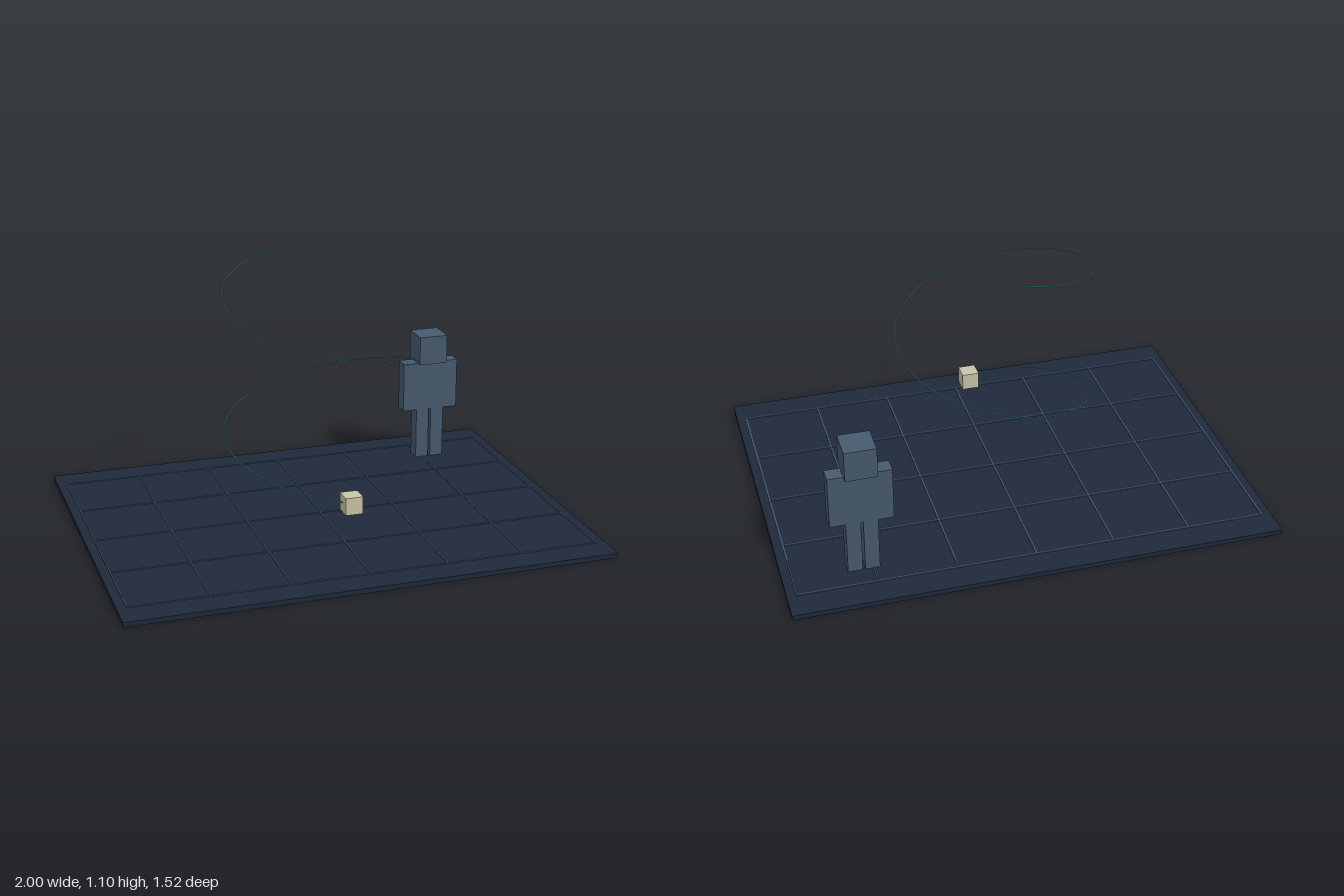
import * as THREE from 'three';

const mat = (name, color) => {
  const m = new THREE.MeshStandardMaterial({ color });
  m.name = name;
  return m;
};

// Helix climbing one and a half turns from front to back
class Helix extends THREE.Curve {
  getPoint(t, target = new THREE.Vector3()) {
    const a = t * Math.PI * 3;
    return target.set(-0.4 * Math.sin(a), 0.22 + 0.88 * t, 0.4 * Math.cos(a));
  }
}

export function createModel() {
  const model = new THREE.Group();
  const navy = mat('dark navy', 0x1e293b);
  const line = mat('grid blue', 0x42566d);
  const slate = mat('slate', 0x475a6f);
  const cream = mat('cream', 0xc9c4a9);
  const teal = mat('teal', 0x4fb5a2);

  const box = (parent, name, material, size, pos) => {
    const mesh = new THREE.Mesh(new THREE.BoxGeometry(...size), material);
    mesh.name = name;
    mesh.position.set(...pos);
    parent.add(mesh);
  };

  // Floor slab
  box(model, 'floor', navy, [2, 0.02, 1.516], [0, 0.01, 0]);

  // Raised floor grid
  const grid = new THREE.Group();
  grid.name = 'floorGrid';
  for (let i = -3; i <= 3; i++) box(grid, 'gridLineAlong', line, [0.006, 0.004, 1.286], [i * 0.32, 0.0215, 0]);
  for (let i = -2; i <= 2; i++) box(grid, 'gridLineAcross', line, [1.926, 0.004, 0.006], [0, 0.0214, i * 0.32]);
  model.add(grid);

  // Blocky standing figure
  const figure = new THREE.Group();
  figure.name = 'figure';
  figure.position.set(0.678, 0, -0.52);
  box(figure, 'head', slate, [0.128, 0.128, 0.128], [0, 0.534, 0]);
  box(figure, 'torsoAndArms', slate, [0.254, 0.222, 0.064], [0, 0.359, 0]);
  for (const s of [-1, 1]) box(figure, s > 0 ? 'leftLeg' : 'rightLeg', slate, [0.059, 0.228, 0.064], [s * 0.0345, 0.134, 0]);
  model.add(figure);

  // Cube at the start of the path
  box(model, 'cube', cream, [0.072, 0.072, 0.072], [0, 0.222, 0.4]);

  // Thin spiral path
  const path = new THREE.Mesh(new THREE.TubeGeometry(new Helix(), 96, 0.0025, 6), teal);
  path.name = 'spiralPath';
  model.add(path);

  return model;
}
